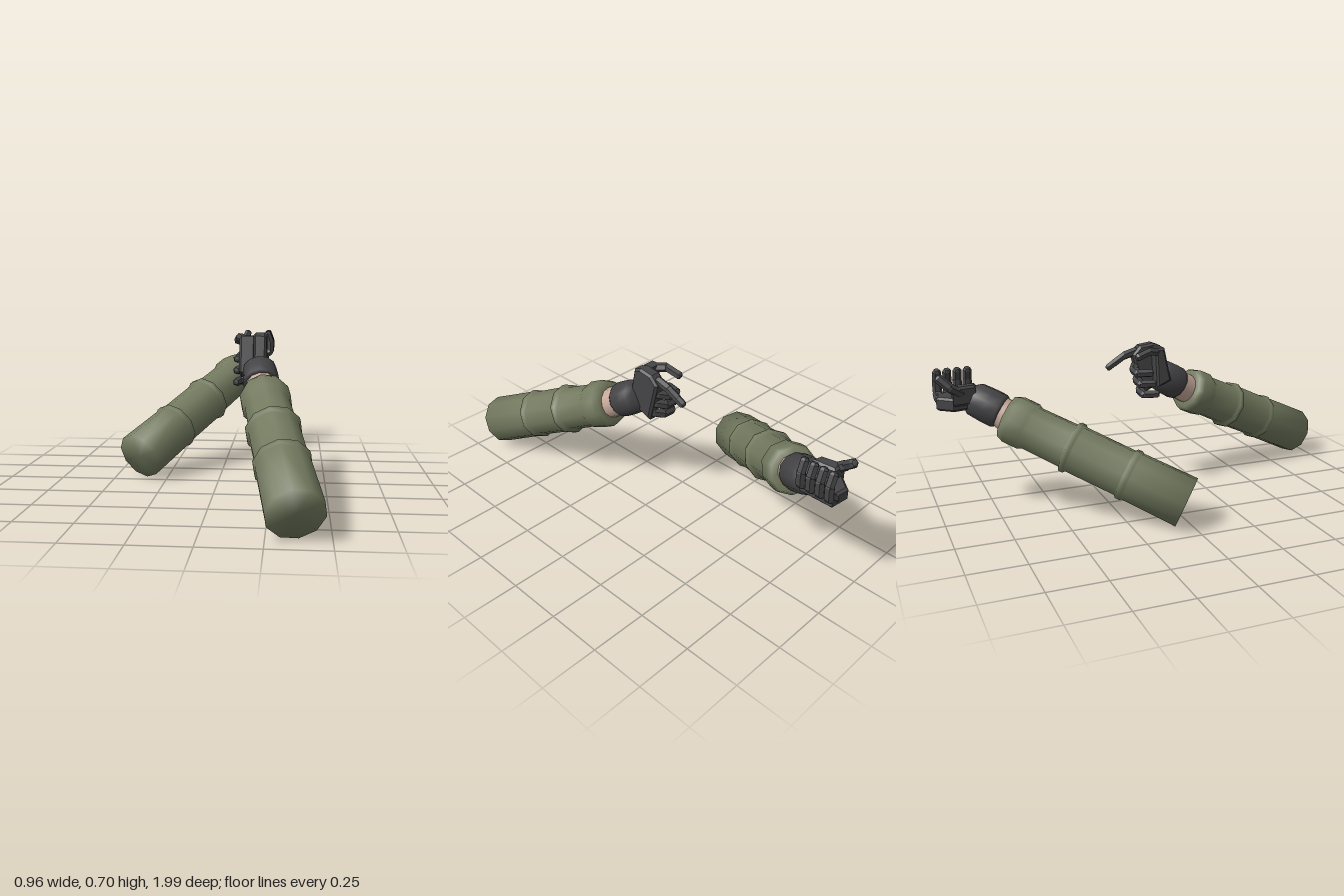
import * as THREE from 'three';

const V = (p) => new THREE.Vector3(...p);
const UP = new THREE.Vector3(0, 1, 0);

function material(name, color, extra = {}) {
  const m = new THREE.MeshStandardMaterial({ color, ...extra });
  m.name = name;
  return m;
}

// Turned part: profile of [radius, distance] running from a towards b
function turned(name, mat, a, b, profile, sides) {
  const pts = profile.map(([r, t]) => new THREE.Vector2(r, t));
  const mesh = new THREE.Mesh(new THREE.LatheGeometry(pts, sides), mat);
  mesh.name = name;
  mesh.position.copy(V(a));
  mesh.quaternion.setFromUnitVectors(UP, V(b).sub(V(a)).normalize());
  return mesh;
}

// Bevelled slab from an outline; axis 'x' takes [z, y] points, axis 'y' takes [x, z]
function slab(name, mat, outline, axis, low, high) {
  const bevel = 0.01;
  const shape = new THREE.Shape(outline.map(([u, v]) => new THREE.Vector2(u, v)));
  const geo = new THREE.ExtrudeGeometry(shape, {
    depth: high - low - 2 * bevel, bevelThickness: bevel, bevelSize: bevel,
    bevelOffset: -bevel, bevelSegments: 1,
  });
  if (axis === 'x') geo.rotateY(-Math.PI / 2).translate(high - bevel, 0, 0);
  else geo.rotateX(Math.PI / 2).translate(0, high - bevel, 0);
  const mesh = new THREE.Mesh(geo, mat);
  mesh.name = name;
  return mesh;
}

// Jointed finger: one chamfered segment between each pair of points
function finger(name, mat, points, r) {
  const g = new THREE.Group();
  g.name = name;
  for (let i = 0; i < points.length - 1; i++) {
    const len = V(points[i]).distanceTo(V(points[i + 1]));
    const k = r * (1 - 0.06 * i);
    g.add(turned('fingerJoint', mat, points[i], points[i + 1],
      [[0, -k * 0.6], [k * 0.65, -k * 0.5], [k, 0], [k, len], [k * 0.65, len + k * 0.5], [0, len + k * 0.6]], 6));
  }
  return g;
}

export function createModel() {
  const model = new THREE.Group();
  model.name = 'pairOfArms';
  const olive = material('sleeveOlive', 0x737a5f);
  const glove = material('gloveCharcoal', 0x434345);
  const gloveFlat = material('handCharcoal', 0x454547, { flatShading: true });
  const skin = material('skin', 0xc8aa9b);

  // Sleeve with two raised seams and a cuff, bare wrist, glove cuff
  function arm(name, elbow, cuff, seam1, seam2, cuffStart, gloveStart, gloveEnd) {
    const g = new THREE.Group();
    g.name = name;
    const len = V(elbow).distanceTo(V(cuff));
    const seam = (t, before, after) => [[before, t - 0.02], [0.119, t - 0.012], [0.119, t + 0.01], [after, t + 0.018]];
    g.add(turned('sleeve', olive, elbow, cuff, [
      [0, 0], [0.117, 0],
      ...seam(seam1, 0.113, 0.109),
      ...seam(seam2, 0.109, 0.103),
      [0.1, cuffStart - 0.02], [0.111, cuffStart], [0.111, len - 0.03], [0.1, len], [0.06, len],
    ], 10));
    const wristLen = V(cuff).distanceTo(V(gloveStart)) + 0.02;
    g.add(turned('wrist', skin, cuff, gloveStart, [[0.07, -0.03], [0.07, wristLen]], 12));
    const gl = V(gloveStart).distanceTo(V(gloveEnd));
    g.add(turned('gloveCuff', glove, gloveStart, gloveEnd, [
      [0, 0], [0.072, 0], [0.08, 0.012], [0.08, gl * 0.5], [0.076, gl], [0.055, gl + 0.025], [0, gl + 0.03],
    ], 12));
    model.add(g);
    return g;
  }

  // Front arm: hand on edge, index finger pointing, the rest curled
  const front = arm('frontArm', [0.362, 0.114, 0.945], [0.22, 0.452, 0.237],
    0.29, 0.515, 0.7, [0.208, 0.482, 0.187], [0.195, 0.54, 0.09]);
  const frontHand = new THREE.Group();
  frontHand.name = 'frontHand';
  front.add(frontHand);
  frontHand.add(
    slab('palm', gloveFlat, [[0.117, 0.52], [0.078, 0.69], [0.04, 0.704], [-0.025, 0.695],
      [-0.062, 0.655], [-0.01, 0.465], [0.05, 0.49]], 'x', 0.165, 0.225),
    slab('thumbBase', gloveFlat, [[0.11, 0.53], [0.075, 0.69], [0.03, 0.69], [0.04, 0.5]], 'x', 0.102, 0.175),
    finger('thumb', gloveFlat, [[0.125, 0.67, 0.05], [0.1, 0.68, 0], [0.088, 0.66, -0.065]], 0.021),
    finger('indexFinger', gloveFlat, [[0.192, 0.668, -0.04], [0.19, 0.65, -0.1],
      [0.186, 0.62, -0.15], [0.184, 0.602, -0.18]], 0.02),
  );
  for (let i = 0; i < 3; i++) {
    const y = 0.585 - 0.052 * i, z = 0.015 * i;
    frontHand.add(finger('curledFinger', gloveFlat, [[0.195, y + 0.015, -0.04 + z], [0.155, y, -0.063 + z],
      [0.1, y - 0.005, -0.06 + z], [0.088, y - 0.005, 0 + z]], 0.022));
  }

  // Back arm: palm up, fingers curling upward opposite the thumb
  const back = arm('backArm', [-0.38, 0.108, -0.02], [0.06, 0.45, -0.69],
    0.28, 0.555, 0.77, [0.078, 0.468, -0.713], [0.135, 0.525, -0.815]);
  const backHand = new THREE.Group();
  backHand.name = 'backHand';
  back.add(backHand);
  backHand.add(
    slab('palm', gloveFlat, [[0.09, -0.82], [0.17, -0.805], [0.205, -0.82], [0.205, -0.975],
      [0.12, -0.985], [0.065, -0.92]], 'y', 0.49, 0.55),
    slab('thumbBase', gloveFlat, [[0.075, -0.82], [0.13, -0.81], [0.12, -0.92], [0.055, -0.92]], 'y', 0.515, 0.6),
    finger('thumb', gloveFlat, [[0.08, 0.565, -0.88], [0.067, 0.6, -0.93], [0.085, 0.64, -0.972]], 0.022),
  );
  for (let i = 0; i < 4; i++) {
    const z = -0.832 - 0.044 * i;
    backHand.add(finger('curledFinger', gloveFlat,
      [[0.18, 0.523, z], [0.216, 0.545, z], [0.218, 0.6, z], [0.2, 0.645, z]], 0.022));
  }

  return model;
}
